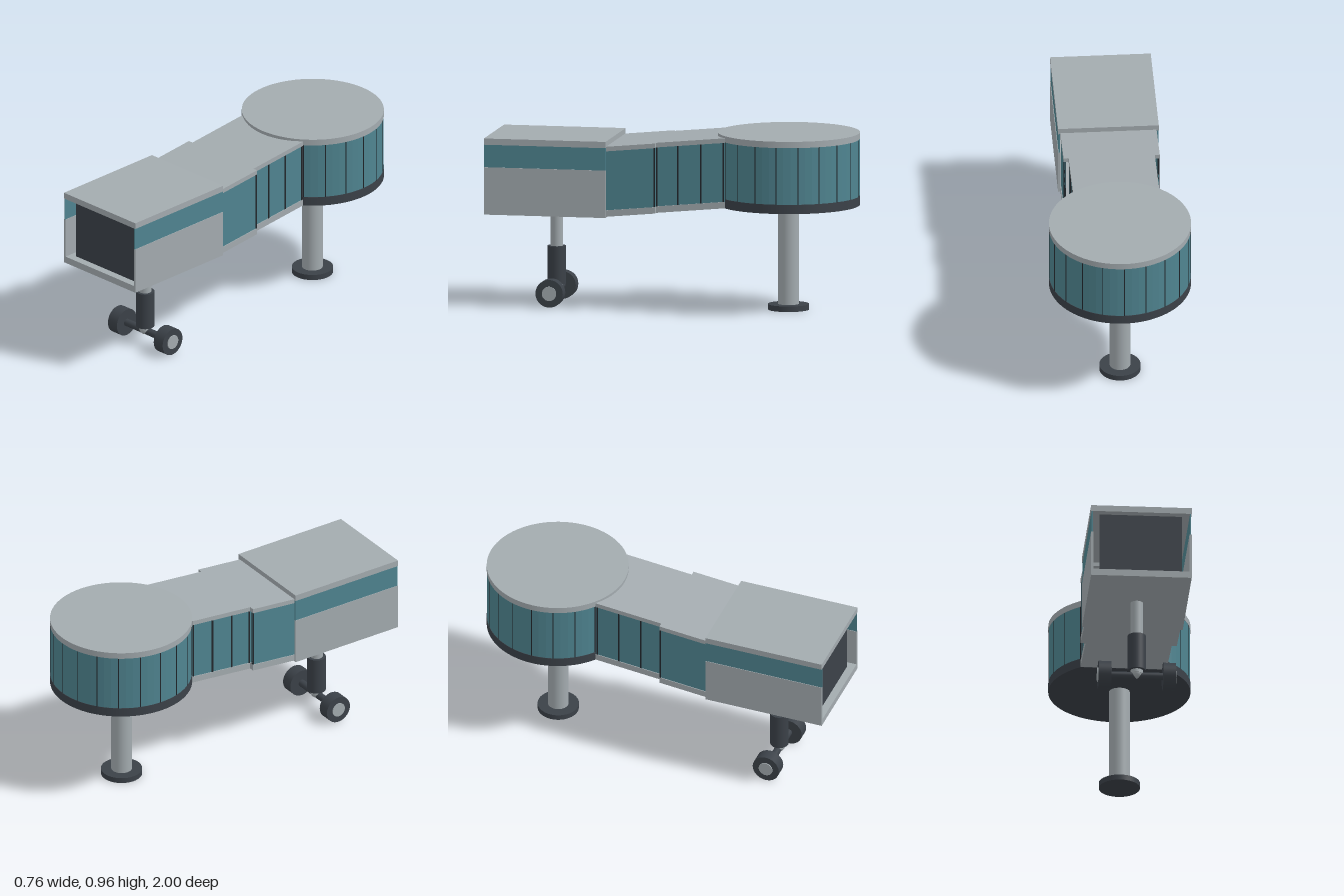
import * as THREE from 'three';

const mat = (name, color) => Object.assign(new THREE.MeshStandardMaterial({ color }), { name });

export function createModel() {
  const grey = mat('light grey metal', 0xa3abaf);
  const glass = mat('teal glass', 0x4f8490);
  const dark = mat('dark grey', 0x3b4148);
  const black = mat('mullion black', 0x22272c);
  const model = new THREE.Group();
  model.name = 'boardingBridge';

  const group = (name) => {
    const g = new THREE.Group();
    g.name = name;
    model.add(g);
    return g;
  };
  const add = (parent, name, geometry, material) => {
    const m = new THREE.Mesh(geometry, material);
    m.name = name;
    parent.add(m);
    return m;
  };
  // Box given by its extents
  const block = (x0, x1, y0, y1, z0, z1) =>
    new THREE.BoxGeometry(x1 - x0, y1 - y0, z1 - z0)
      .translate((x0 + x1) / 2, (y0 + y1) / 2, (z0 + z1) / 2);
  // Box sheared upward toward the back; heights are those at z = 0.335
  const sloped = (...extents) => {
    const g = block(...extents);
    const p = g.attributes.position;
    for (let i = 0; i < p.count; i++) p.setY(i, p.getY(i) + 0.094 * (0.335 - p.getZ(i)));
    g.computeVertexNormals();
    return g;
  };
  // Upright cylinder between two heights
  const post = (r, y0, y1, z, sides = 32) =>
    new THREE.CylinderGeometry(r, r, y1 - y0, sides).translate(0, (y0 + y1) / 2, z);

  // Rotunda, open toward the tunnel
  const rotunda = group('rotunda');
  const R = 0.382, RZ = -0.618, gap = Math.asin(0.232 / R);
  const sweep = Math.PI * 2 - 2 * gap, panels = 16;
  const plan = new THREE.Shape();
  plan.absarc(0, 0, R, -Math.PI / 2 + gap, 1.5 * Math.PI - gap, false);
  plan.closePath();
  add(rotunda, 'rotundaBase',
    new THREE.ExtrudeGeometry(plan, { depth: 0.05, bevelEnabled: false, curveSegments: 64 })
      .rotateX(-Math.PI / 2).translate(0, 0.57, RZ), dark);
  const wall = new THREE.CylinderGeometry(R - 0.002, R - 0.002, 0.31, panels * 3, 1, true, gap, sweep)
    .translate(0, 0.775, RZ).toNonIndexed();
  wall.computeVertexNormals();
  add(rotunda, 'rotundaGlass', wall, glass);
  add(rotunda, 'rotundaRoof', post(R, 0.928, 0.962, RZ, 72), grey);
  for (let i = 0; i <= panels; i++) {
    const a = gap + (sweep * i) / panels;
    const m = add(rotunda, 'rotundaMullion', new THREE.BoxGeometry(0.005, 0.31, 0.005), black);
    m.position.set(Math.sin(a) * (R - 0.003), 0.775, RZ + Math.cos(a) * (R - 0.003));
    m.rotation.y = a;
  }

  // Two telescoping sloped tunnel sections
  const tunnel = (name, w, z0, z1, mullions) => {
    const g = group(name);
    add(g, 'tunnelFloor', sloped(-w, w, 0.51, 0.545, z0, z1), grey);
    add(g, 'tunnelRoof', sloped(-w, w, 0.865, 0.89, z0, z1), grey);
    for (const s of [-1, 1]) {
      const x0 = s > 0 ? w - 0.01 : -w + 0.004, x1 = s > 0 ? w - 0.004 : -w + 0.01;
      add(g, 'tunnelGlass', sloped(x0, x1, 0.545, 0.865, z0, z1), glass);
      for (const z of mullions)
        add(g, 'tunnelMullion',
          sloped(s * (w - 0.007) - 0.006, s * (w - 0.007) + 0.006, 0.545, 0.865, z - 0.004, z + 0.004), black);
    }
  };
  tunnel('innerTunnel', 0.232, -0.313, 0.1, [-0.304, -0.18, -0.055, 0.06]);
  tunnel('middleTunnel', 0.259, 0.064, 0.345, [0.068]);

  // Front cabin: floor, roof, low walls and a window band
  const cabin = group('cabin');
  add(cabin, 'cabinFloor', block(-0.271, 0.271, 0.505, 0.542, 0.333, 1), grey);
  add(cabin, 'cabinRoof', block(-0.271, 0.271, 0.884, 0.918, 0.333, 1), grey);
  for (const s of [-1, 1]) {
    const x = s * 0.265;
    add(cabin, 'cabinWall', block(x - 0.006, x + 0.006, 0.542, 0.762, 0.333, 1), grey);
    add(cabin, 'cabinWindow', block(x - 0.003, x + 0.003, 0.762, 0.884, 0.333, 1), glass);
  }
  add(cabin, 'cabinDoor', block(-0.222, 0.222, 0.544, 0.883, 0.93, 0.96), dark);

  // Rear column on a round foot
  const support = group('rearSupport');
  add(support, 'rearColumn', post(0.056, 0.03, 0.57, -0.615), grey);
  add(support, 'rearFoot', post(0.111, 0, 0.03, -0.615, 40), dark);

  // Front leg with sleeve, axle and wheels
  const leg = group('frontLeg');
  const LZ = 0.655;
  add(leg, 'legPiston', post(0.034, 0.085, 0.51, LZ), grey);
  add(leg, 'legSleeve', post(0.05, 0.105, 0.31, LZ), dark);
  add(leg, 'axleJoint', new THREE.SphereGeometry(0.032, 24, 16).translate(0, 0.088, LZ), grey);
  const alongX = (name, r, length, x, material) =>
    add(leg, name, new THREE.CylinderGeometry(r, r, length, 36)
      .rotateZ(Math.PI / 2).translate(x, 0.076, LZ), material);
  alongX('axle', 0.02, 0.3, 0, dark);
  for (const s of [-1, 1]) {
    alongX('wheel', 0.075, 0.068, s * 0.174, dark);
    alongX('hub', 0.039, 0.02, s * 0.203, grey);
  }
  return model;
}
